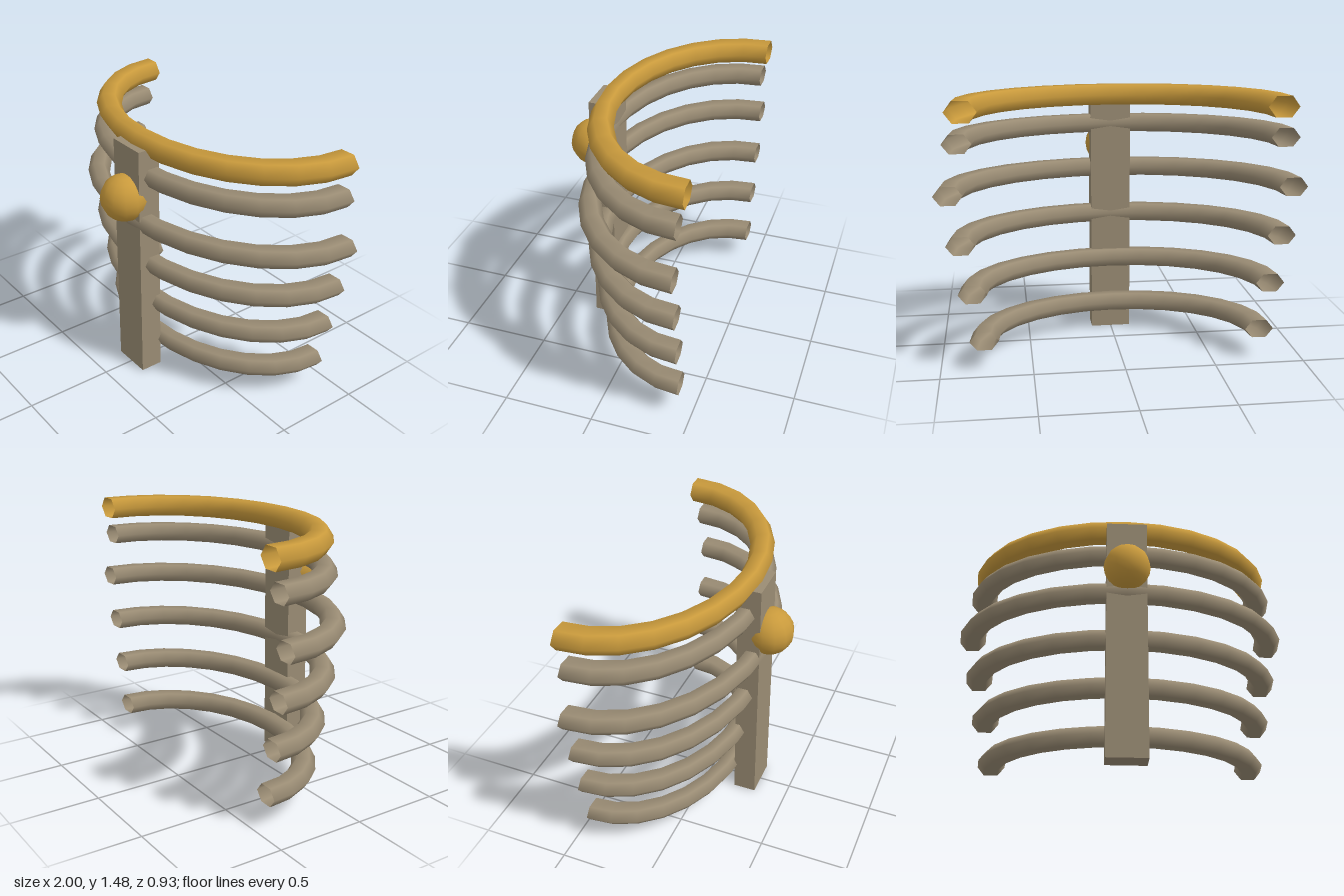
import * as THREE from 'three';

export function createModel() {
  const group = new THREE.Group();
  const bone = new THREE.MeshStandardMaterial({ color: 0x9a8c74, side: THREE.DoubleSide });
  bone.name = 'dull bone';
  const gold = new THREE.MeshStandardMaterial({ color: 0xc99a3c, side: THREE.DoubleSide });
  gold.name = 'gold';

  const add = (name, geometry, material, x, y, z) => {
    const mesh = new THREE.Mesh(geometry, material);
    mesh.name = name;
    mesh.position.set(x, y, z);
    group.add(mesh);
  };

  // Open six-sided half ring, widened sideways; the ends run slightly past half a turn
  const over = 0.03;
  const hoop = (name, y, halfWidth, front, centreZ, tube, material) => {
    const outer = front - centreZ;
    const g = new THREE.TorusGeometry(outer - tube, tube, 6, 14, Math.PI + 2 * over);
    g.rotateZ(-over);
    g.rotateX(Math.PI / 2);
    g.scale(halfWidth / outer, 1, 1);
    add(name, g, material, 0, y, centreZ);
  };

  // Ribs from bottom to top: height, half width, front z
  [
    [0.173, 0.84, 0.21],
    [0.44, 0.892, 0.25],
    [0.71, 0.945, 0.292],
    [0.98, 1.0, 0.335],
    [1.25, 0.945, 0.292],
  ].forEach(([y, w, f], i) => hoop('rib' + (i + 1), y, w, f, -0.408, 0.058, bone));

  // Gold collar above the ribs
  hoop('collar', 1.418, 0.925, 0.28, -0.44, 0.066, gold);

  // Upright breastbone and its round boss
  add('breastbone', new THREE.BoxGeometry(0.23, 1.415, 0.13), bone, 0, 0.7075, 0.25);
  add('boss', new THREE.SphereGeometry(0.133, 12, 10), gold, 0, 1.115, 0.333);

  return group;
}
